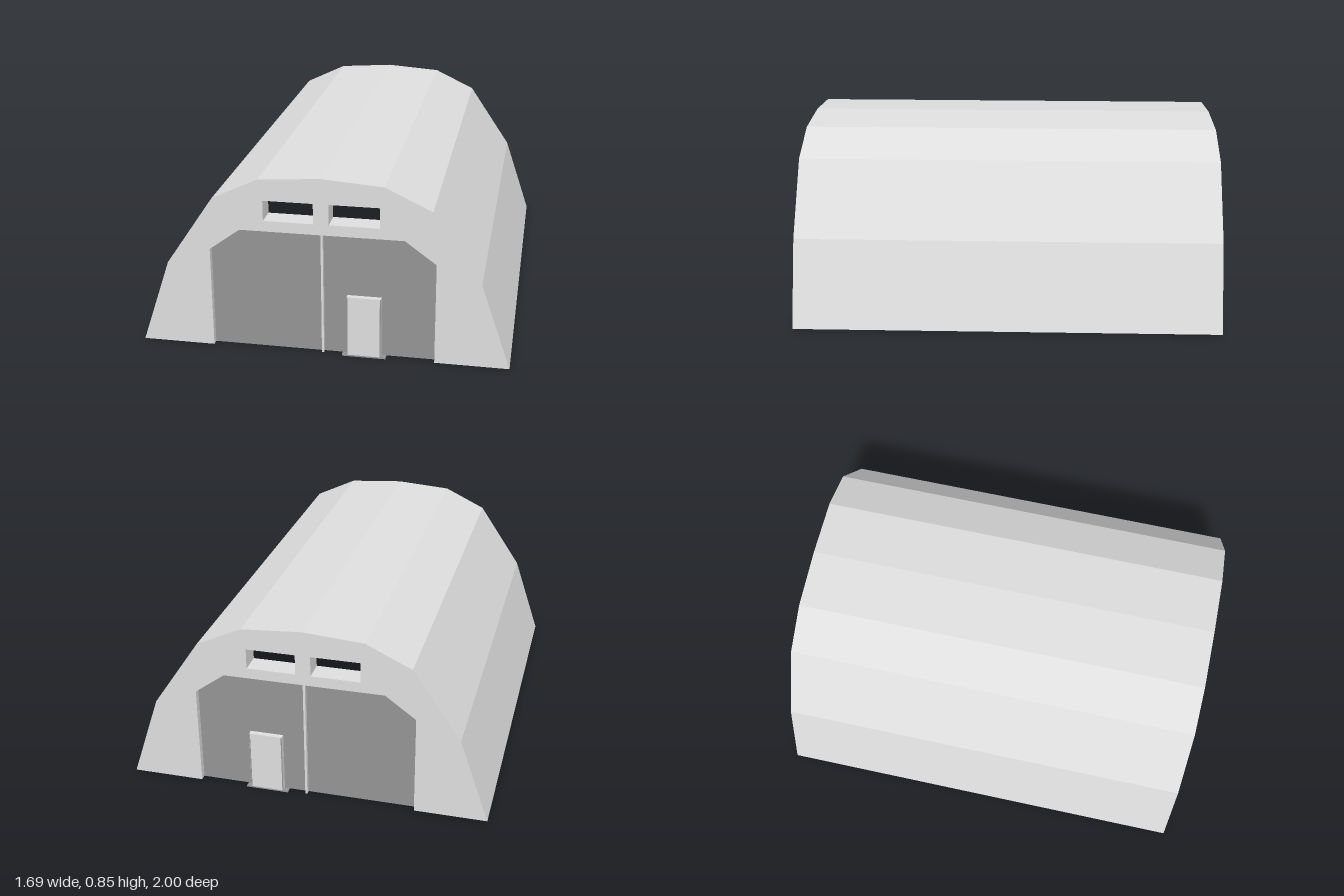
import * as THREE from 'three';

const BASE = 0.007, WALL_Z = 1, PANEL_Z = 0.97, LEAF_Z = 0.995, WINDOW_DEPTH = 0.1;

const light = new THREE.MeshStandardMaterial({ color: 0xdedede, side: THREE.DoubleSide });
light.name = 'lightGrey';
const dark = new THREE.MeshStandardMaterial({ color: 0x949494, side: THREE.DoubleSide });
dark.name = 'darkGrey';

// Right half of the roof arch and of the gate opening, bottom to top
const archHalf = [[0.845, BASE], [0.71, 0.405], [0.49, 0.73], [0.28, 0.83]];
const gateHalf = [[0.51, BASE], [0.51, 0.485], [0.37, 0.588]];

const mirrored = (half) => half.slice().reverse().map(([x, y]) => [-x, y]);
const arch = [...archHalf, [0, 0.85], ...mirrored(archHalf)];
const gate = [...gateHalf, ...mirrored(gateHalf)];
const rect = (x0, x1, y0, y1) => [[x1, y0], [x1, y1], [x0, y1], [x0, y0]];
const toVectors = (pts) => pts.map(([x, y]) => new THREE.Vector2(x, y));

function add(group, name, geometry, material, x = 0, y = 0, z = 0) {
  const mesh = new THREE.Mesh(geometry, material);
  mesh.name = name;
  mesh.position.set(x, y, z);
  group.add(mesh);
  return mesh;
}

// Flat-faced strip following an outline from z0 to z1
function sleeve(pts, z0, z1, closed = false) {
  const pos = [];
  const count = closed ? pts.length : pts.length - 1;
  for (let i = 0; i < count; i++) {
    const [ax, ay] = pts[i], [bx, by] = pts[(i + 1) % pts.length];
    pos.push(ax, ay, z1, ax, ay, z0, bx, by, z0);
    pos.push(ax, ay, z1, bx, by, z0, bx, by, z1);
  }
  const g = new THREE.BufferGeometry();
  g.setAttribute('position', new THREE.Float32BufferAttribute(pos, 3));
  g.computeVertexNormals();
  return g;
}

function flat(pts, holes = []) {
  const shape = new THREE.Shape(toVectors(pts));
  for (const h of holes) shape.holes.push(new THREE.Path(toVectors(h)));
  return new THREE.ShapeGeometry(shape);
}

// One gable end facing +z; side puts the small door left or right of centre
function createEnd(side) {
  const end = new THREE.Group();
  const windows = [rect(-0.26, -0.035, 0.638, 0.733), rect(0.035, 0.26, 0.638, 0.733)];

  // Gable wall, cut out around the gate and windows
  add(end, 'gableWall', flat([...arch, ...gate.slice().reverse()], windows), light, 0, 0, WALL_Z);
  windows.forEach((w) => add(end, 'windowReveal', sleeve(w, WALL_Z - WINDOW_DEPTH, WALL_Z, true), light));
  add(end, 'gateReveal', sleeve(gate, PANEL_Z, WALL_Z), light);

  // Gate panel with a notch for the small door
  const doorX = 0.188 * side, half = 0.078, top = 0.295;
  const door = rect(doorX - half, doorX + half, BASE, top);
  add(end, 'gatePanel', flat([...gate, ...door.slice().reverse()]), dark, 0, 0, PANEL_Z);

  // Post where the two gate leaves meet
  add(end, 'gatePost', new THREE.BoxGeometry(0.01, 0.588 - BASE, 0.025), light, 0, (0.588 + BASE) / 2, PANEL_Z + 0.008);

  // Small door set forward of the gate, with its dark inner face and edges
  add(end, 'doorSides', sleeve(door, PANEL_Z, LEAF_Z), light);
  add(end, 'doorInnerFace', flat(door), dark, 0, 0, LEAF_Z - 0.004);
  add(end, 'doorFace', flat(rect(doorX - half + 0.005, doorX + half - 0.005, BASE, top)), light, 0, 0, LEAF_Z);
  add(end, 'doorThreshold', new THREE.BoxGeometry(0.2, 0.007, 0.05), dark, doorX, 0.0035, 0.97);
  return end;
}

export function createModel() {
  const model = new THREE.Group();
  model.name = 'hangar';
  add(model, 'roofShell', sleeve(arch, -WALL_Z, WALL_Z), light);

  const front = createEnd(1);
  front.name = 'frontEnd';
  const back = createEnd(-1);
  back.name = 'backEnd';
  back.rotation.y = Math.PI;
  model.add(front, back);
  return model;
}
